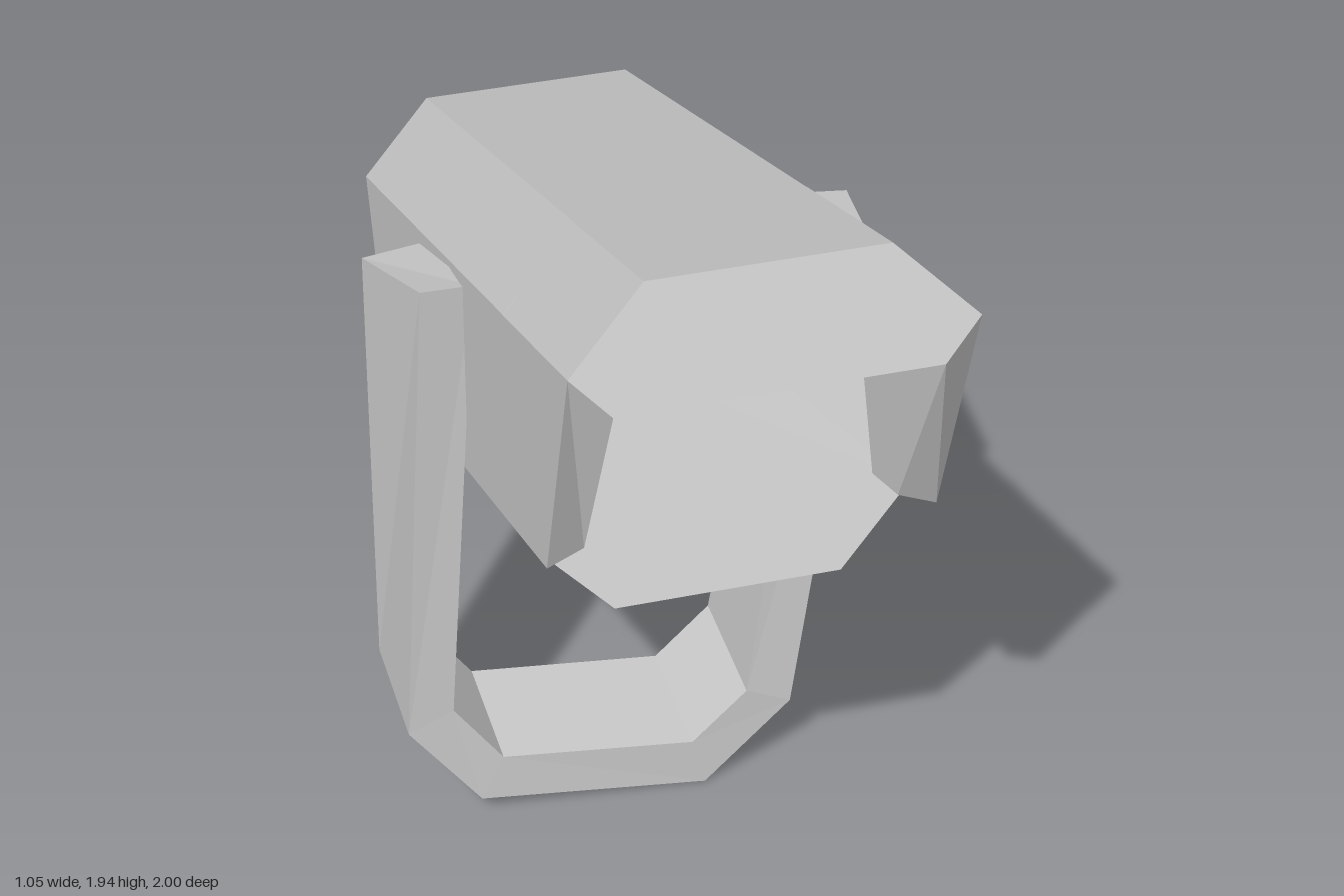
import * as THREE from 'three';

const material = new THREE.MeshStandardMaterial({ color: 0xcccccc, flatShading: true });

// Skins a row of matching corner loops (counter-clockwise seen along the travel) and caps both ends.
function loft(name, loops) {
  const pos = [];
  const tri = (a, b, c) => pos.push(...a, ...b, ...c);
  const n = loops[0].length;
  for (let k = 0; k + 1 < loops.length; k++) {
    const a = loops[k], b = loops[k + 1];
    for (let i = 0; i < n; i++) {
      const j = (i + 1) % n;
      tri(a[i], a[j], b[j]);
      tri(a[i], b[j], b[i]);
    }
  }
  const first = loops[0], last = loops[loops.length - 1];
  for (let i = 1; i + 1 < n; i++) {
    tri(first[0], first[i + 1], first[i]);
    tri(last[0], last[i], last[i + 1]);
  }
  const geometry = new THREE.BufferGeometry();
  geometry.setAttribute('position', new THREE.Float32BufferAttribute(pos, 3));
  geometry.computeVertexNormals();
  const mesh = new THREE.Mesh(geometry, material);
  mesh.name = name;
  return mesh;
}

const atZ = (loop, z) => loop.map(([x, y], i) => [x, y, Array.isArray(z) ? z[i] : z]);

// Eight-sided housing outline, half-width r
const MID = 1.062;
const octagon = (r) => {
  const c = r * 0.595;
  return [[r, -c], [r, c], [c, r], [-c, r], [-r, c], [-r, -c], [-c, -r], [c, -r]]
    .map(([x, y]) => [x, MID + y]);
};

function createHead() {
  const head = new THREE.Group();
  head.name = 'lampHead';
  const face = 1.035, tip = 1.58, lip = 1.2;

  // Housing with bevelled back
  head.add(loft('housing', [
    atZ(octagon(0.297), -0.521),
    atZ(octagon(0.385), -0.415),
    atZ(octagon(0.385), face),
  ]));

  // Hood roof
  const roof = [[0.385, 1.29], [0.23, 1.447], [-0.23, 1.447], [-0.385, 1.29], [-0.31, 1.209], [0.31, 1.209]];
  head.add(loft('hoodRoof', [atZ(roof, face), atZ(roof, tip)]));

  // Hood cheeks with raked front edges
  const cheek = [[0.385, 0.833], [0.385, 1.29], [0.31, 1.209], [0.31, 0.861]];
  const loops = [atZ(cheek, face), atZ(cheek, [lip, tip, tip, lip])];
  const mirrored = loops.map((l) => l.map(([x, y, z]) => [-x, y, z]).reverse());
  head.add(loft('leftHoodCheek', loops), loft('rightHoodCheek', mirrored));

  // Tilt upward with a slight turn
  head.rotation.set(-0.391, -0.0075, 0, 'YXZ');
  head.position.x = 0.01;
  return head;
}

// U-shaped bracket: loops of outer back, inner back, inner front, outer front
function createBracket() {
  const bend = ([ox, oy], [ix, iy], front, back) =>
    [[ox, oy, back], [ix, iy, back], [ix, iy, front], [ox, oy, front]];
  return loft('bracket', [
    [[-0.525, 1.33, -0.155], [-0.4, 1.33, -0.175], [-0.355, 1.41, 0.11], [-0.465, 1.42, 0.12]],
    bend([-0.525, 0.265], [-0.425, 0.31], 0.115, -0.175),
    bend([-0.37, 0.05], [-0.32, 0.16], 0.125, -0.17),
    bend([0.13, 0.003], [0.1, 0.125], 0.15, -0.15),
    bend([0.32, 0.2], [0.22, 0.25], 0.155, -0.145),
    [[0.525, 1.285, -0.19], [0.4, 1.29, -0.205], [0.365, 1.355, 0.11], [0.485, 1.35, 0.1]],
  ]);
}

export function createModel() {
  const model = new THREE.Group();
  model.name = 'floodlight';
  model.add(createHead(), createBracket());
  return model;
}
